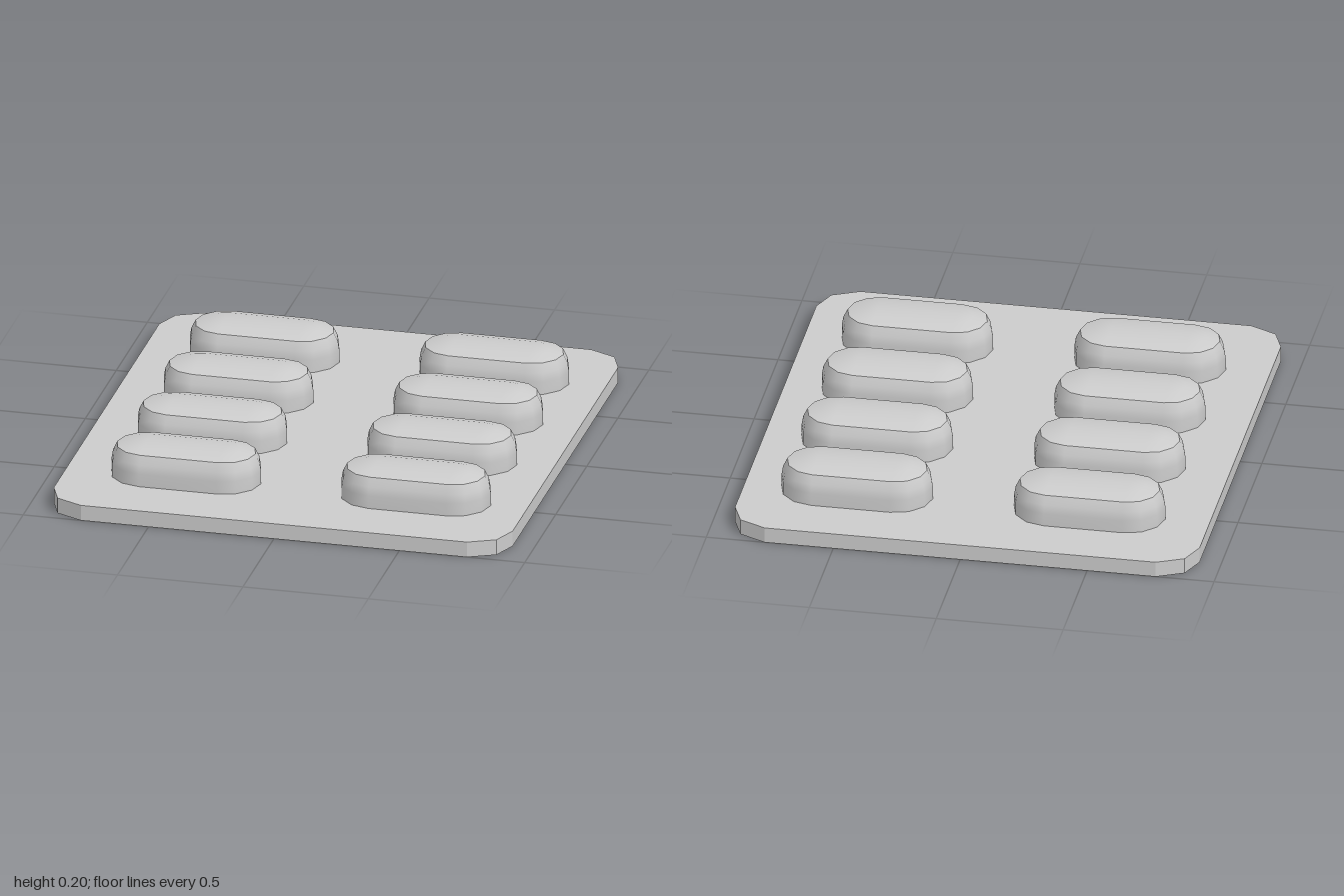
import * as THREE from 'three';
import { mergeVertices } from 'three/addons/utils/BufferGeometryUtils.js';

const PLATE_TOP = 0.063;

// Stadium outline of end radius r, anticlockwise from above
function stadium(r, y, half = 0.155, segs = 6) {
  const pts = [];
  for (const side of [1, -1]) {
    for (let i = 0; i <= segs; i++) {
      const a = -Math.PI / 2 + (i / segs) * Math.PI;
      pts.push([side * (half + r * Math.cos(a)), y, -side * r * Math.sin(a)]);
    }
  }
  return pts;
}

// Smooth skin through stacked stadium outlines given as [radius, y]
function loft(profile) {
  const rings = profile.map(([r, y]) => stadium(r, y));
  const n = rings[0].length, index = [];
  for (let j = 0; j < rings.length - 1; j++) {
    for (let i = 0; i < n; i++) {
      const a = j * n + i, b = j * n + (i + 1) % n;
      index.push(a, b, b + n, a, b + n, a + n);
    }
  }
  const geo = new THREE.BufferGeometry();
  geo.setAttribute('position', new THREE.Float32BufferAttribute(rings.flat(2), 3));
  geo.setIndex(index);
  const merged = mergeVertices(geo, 1e-4);
  merged.computeVertexNormals();
  return merged;
}

export function createModel() {
  const model = new THREE.Group();
  model.name = 'blisterPack';
  const grey = new THREE.MeshStandardMaterial({ color: 0xcccccc });
  grey.name = 'light grey';

  // Backing plate with faceted corners
  const corner = [[0.915, 0.85], [0.875, 0.95], [0.77, 1]];
  const outline = [
    ...corner,
    ...corner.map(([x, z]) => [-x, z]).reverse(),
    ...corner.map(([x, z]) => [-x, -z]),
    ...corner.map(([x, z]) => [x, -z]).reverse(),
  ].map(([x, z]) => new THREE.Vector2(x, z));
  const plateGeo = new THREE.ExtrudeGeometry(new THREE.Shape(outline), {
    depth: PLATE_TOP, bevelEnabled: false,
  }).rotateX(-Math.PI / 2);
  const plate = new THREE.Mesh(plateGeo, grey);
  plate.name = 'backingPlate';
  model.add(plate);

  // Pill pockets: tapered wall and a creased, shallow domed top
  const wallGeo = loft([[0.143, PLATE_TOP - 0.01], [0.143, 0.115], [0.137, 0.15], [0.12, 0.185]]);
  const domeGeo = loft([[0.12, 0.185], [0.065, 0.2], [0, 0.205]]);
  for (const x of [-0.443, 0.473]) {
    for (const z of [-0.64, -0.22, 0.2, 0.62]) {
      const pocket = new THREE.Group();
      pocket.name = 'pillPocket';
      const wall = new THREE.Mesh(wallGeo, grey);
      wall.name = 'pocketWall';
      const dome = new THREE.Mesh(domeGeo, grey);
      dome.name = 'pocketTop';
      pocket.add(wall, dome);
      pocket.position.set(x, 0, z);
      model.add(pocket);
    }
  }
  return model;
}
